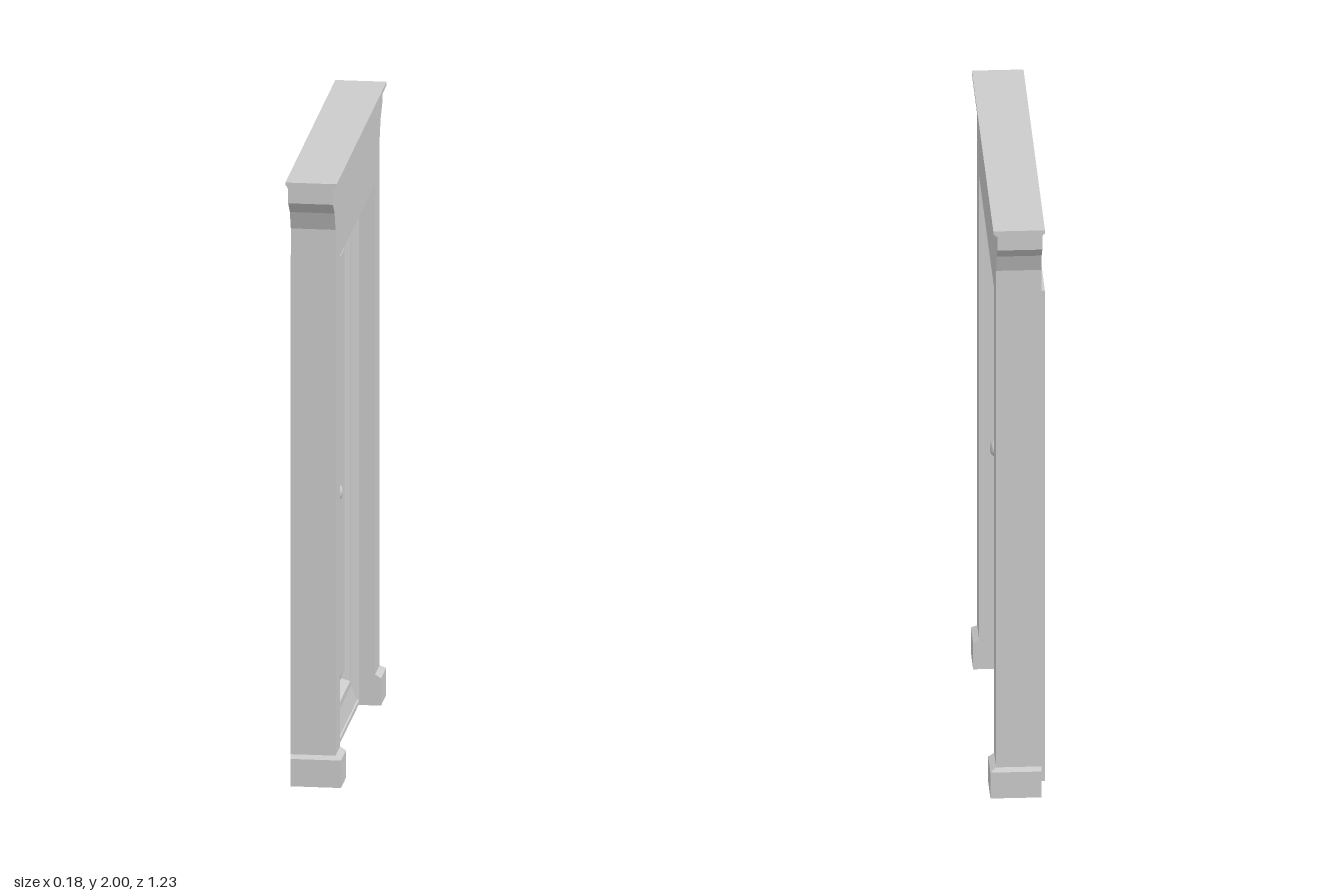
import * as THREE from 'three';

const mat = new THREE.MeshStandardMaterial({ color: 0xcccccc, flatShading: true });
const smooth = new THREE.MeshStandardMaterial({ color: 0xcccccc });

function part(name, geometry, material = mat) {
  const mesh = new THREE.Mesh(geometry, material);
  mesh.name = name;
  return mesh;
}

// Box given by its lower and upper corners
function span(x0, x1, y0, y1, z0, z1) {
  return new THREE.BoxGeometry(x1 - x0, y1 - y0, z1 - z0)
    .translate((x0 + x1) / 2, (y0 + y1) / 2, (z0 + z1) / 2);
}

// Door leaf: nested rectangles, each given as [inset from the edge, x depth]
function leafGeometry(zMin, zMax, height, rings) {
  const loops = rings.map(([inset, x]) => {
    const a = zMax - inset, b = zMin + inset, lo = inset, hi = height - inset;
    return [[x, lo, a], [x, lo, b], [x, hi, b], [x, hi, a]];
  });
  const pos = [];
  const quad = (a, b, c, d) => pos.push(...a, ...b, ...c, ...a, ...c, ...d);
  for (let i = 0; i < loops.length - 1; i++) {
    for (let k = 0; k < 4; k++) {
      const n = (k + 1) % 4;
      quad(loops[i][k], loops[i][n], loops[i + 1][n], loops[i + 1][k]);
    }
  }
  const last = loops[loops.length - 1], first = loops[0];
  quad(...last);
  quad(first[3], first[2], first[1], first[0]);
  const g = new THREE.BufferGeometry();
  g.setAttribute('position', new THREE.Float32BufferAttribute(pos, 3));
  g.computeVertexNormals();
  return g;
}

export function createModel() {
  const model = new THREE.Group();
  model.name = 'doorway';
  const back = -0.074, front = 0.069, jamb = 0.433;

  // Surround: posts and lintel in one outline, flaring out below the cap
  const half = [[jamb, 1.715], [jamb, 0], [0.545, 0], [0.545, 1.83], [0.568, 1.89], [0.61, 1.93], [0.61, 1.982]];
  const outline = [...half, ...half.map(([z, y]) => [-z, y]).reverse()];
  const shape = new THREE.Shape(outline.map(([z, y]) => new THREE.Vector2(z, y)));
  const surround = new THREE.ExtrudeGeometry(shape, { depth: front - back, bevelEnabled: false });
  surround.rotateY(Math.PI / 2).translate(back, 0, 0);
  model.add(part('surround', surround));

  // Stepped cap
  model.add(part('capMoulding', span(-0.078, 0.077, 1.98, 1.99, -0.612, 0.612)));
  model.add(part('capSlab', span(-0.082, 0.082, 1.988, 2, -0.617, 0.617)));

  // Plinth blocks with a chamfered top
  for (const side of [1, -1]) {
    const plinth = new THREE.Group();
    plinth.name = side > 0 ? 'plinthNearHandle' : 'plinthNearHinge';
    const z = [side * jamb, side * 0.558].sort((a, b) => a - b);
    plinth.add(part('plinthBlock', span(back, 0.088, 0, 0.09, ...z)));
    const chamfer = span(back, 0.088, 0.09, 0.102, ...z);
    const p = chamfer.attributes.position;
    for (let i = 0; i < p.count; i++) {
      if (p.getY(i) < 0.1) continue;
      if (p.getX(i) > 0) p.setX(i, front);
      if (Math.abs(p.getZ(i)) > 0.5) p.setZ(i, side * 0.545);
    }
    chamfer.computeVertexNormals();
    plinth.add(part('plinthChamfer', chamfer));
    model.add(plinth);
  }

  // Door: raised rim, sloping border, groove and raised centre panel
  const door = new THREE.Group();
  door.name = 'door';
  door.add(part('doorLeaf', leafGeometry(-0.433, 0.417, 1.705, [
    [0, -0.092], [0, 0.012], [0.008, 0.02], [0.022, 0.02], [0.024, 0.015],
    [0.085, 0.003], [0.107, 0.003], [0.119, -0.024], [0.122, -0.024], [0.162, -0.008],
  ])));

  // Knob turned around its spindle
  const profile = [[0.016, -0.01], [0.016, 0], [0.011, 0.004], [0.011, 0.018], [0.02, 0.024],
    [0.025, 0.034], [0.024, 0.043], [0.017, 0.051], [0, 0.054]];
  const knob = new THREE.LatheGeometry(profile.map(([r, y]) => new THREE.Vector2(r, y)), 20);
  knob.rotateZ(-Math.PI / 2).translate(-0.006, 0.873, 0.2);
  door.add(part('knob', knob, smooth));
  model.add(door);

  return model;
}
